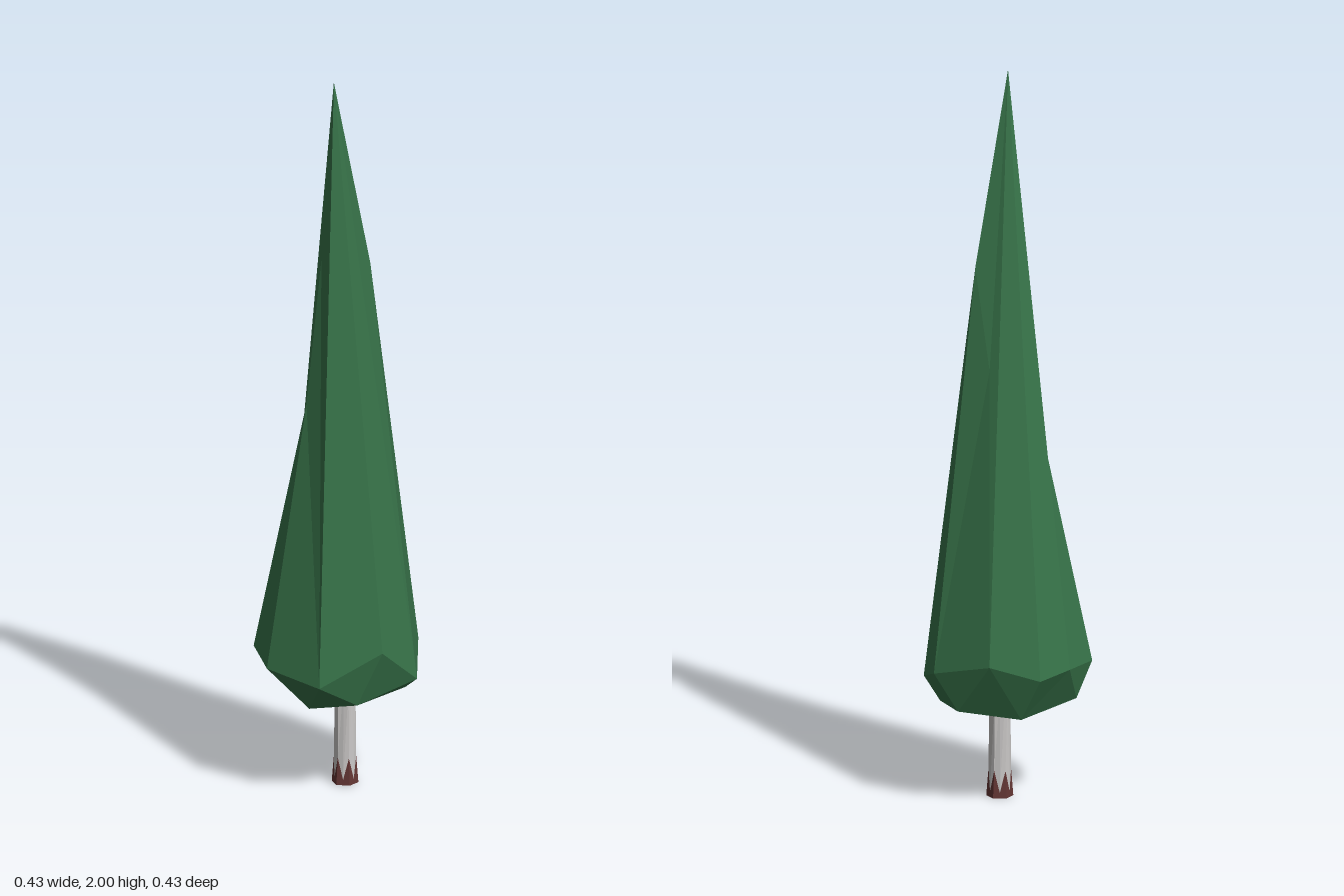
import * as THREE from 'three';

const mat = (name, color) => {
  const m = new THREE.MeshStandardMaterial({ color, flatShading: true });
  m.name = name;
  return m;
};

// Unindexed faceted mesh from a list of corner points
function facets(name, corners, material) {
  const g = new THREE.BufferGeometry();
  g.setAttribute('position', new THREE.Float32BufferAttribute(corners.flat(), 3));
  g.computeVertexNormals();
  const mesh = new THREE.Mesh(g, material);
  mesh.name = name;
  return mesh;
}

// Turns each triangle so that it faces away from the middle of the crown
function outward(tri) {
  const [a, b, c] = tri.map((p) => new THREE.Vector3(...p));
  const n = b.clone().sub(a).cross(c.clone().sub(a));
  const mid = a.add(b).add(c).divideScalar(3).sub(new THREE.Vector3(0, 0.5, 0));
  return n.dot(mid) < 0 ? [tri[0], tri[2], tri[1]] : tri;
}

function createCrown(material) {
  const p = {
    // widest ring
    A: [0.21, 0.32, -0.075], B: [0.215, 0.435, 0.073], C: [0.105, 0.345, 0.203],
    D: [-0.067, 0.365, 0.215], E: [-0.195, 0.372, 0.118], F: [-0.217, 0.39, -0.04],
    G: [-0.188, 0.38, -0.147], H: [-0.073, 0.42, -0.218], I: [0.104, 0.375, -0.206],
    // upper bends and tip
    P: [0, 1.2, -0.09], Q: [0.062, 1.47, -0.058], R: [-0.018, 1.1, 0.11],
    S: [0, 1.5, 0.07], T: [0.018, 2, 0.04],
    // lower ring and underside middle
    u: [0.15, 0.28, 0.1], v: [0, 0.24, 0.12], w: [-0.18, 0.28, 0.06],
    x: [-0.12, 0.26, -0.13], y: [0.04, 0.275, -0.19], z: [0.14, 0.27, -0.11],
    k: [-0.03, 0.23, -0.02],
  };
  const upper = 'IAQ ABT ATQ IQP HIP QTP HPT GHT FGT FTS FSR EFR DER CDR CRS CST BCT';
  const lower = 'ABu BCu Cvu CDv Dwv DEw EFw Fxw FGx GHx Hyx HIy Izy IAz Auz';
  const under = 'uvk vwk wxk xyk yzk zuk';
  const corners = `${upper} ${lower} ${under}`.split(' ')
    .flatMap((face) => outward([...face].map((key) => p[key])));
  return facets('crown', corners, material);
}

function createTrunk(bark, base) {
  const trunk = new THREE.Group();
  trunk.name = 'trunk';
  const sides = 12;
  // Hexagonal ring with a point at each corner and each side middle
  const ring = (height) => Array.from({ length: sides }, (_, i) => {
    const y = height(i);
    const r = (0.036 - Math.min(y, 0.1) * 0.08) * (i % 2 ? 0.866 : 1);
    const a = (i / sides) * Math.PI * 2;
    return [0.014 + r * Math.sin(a), y, -0.011 + r * Math.cos(a)];
  });
  const bottom = ring(() => 0);
  const zigzag = ring((i) => (i % 2 ? 0.015 : 0.075));
  const top = ring(() => 0.28);
  const strip = (lo, hi) => lo.flatMap((a, i) => {
    const j = (i + 1) % sides;
    return [a, lo[j], hi[j], a, hi[j], hi[i]];
  });
  const cap = bottom.flatMap((a, i) => [[0.014, 0, -0.011], bottom[(i + 1) % sides], a]);
  trunk.add(
    facets('trunkBark', strip(zigzag, top), bark),
    facets('trunkBaseSpikes', strip(bottom, zigzag), base),
    facets('trunkUnderside', cap, bark),
  );
  return trunk;
}

export function createModel() {
  const model = new THREE.Group();
  model.name = 'tree';
  model.add(
    createCrown(mat('leafGreen', 0x38744a)),
    createTrunk(mat('paleBark', 0xc9c7c6), mat('darkRedBrown', 0x643634)),
  );
  return model;
}
